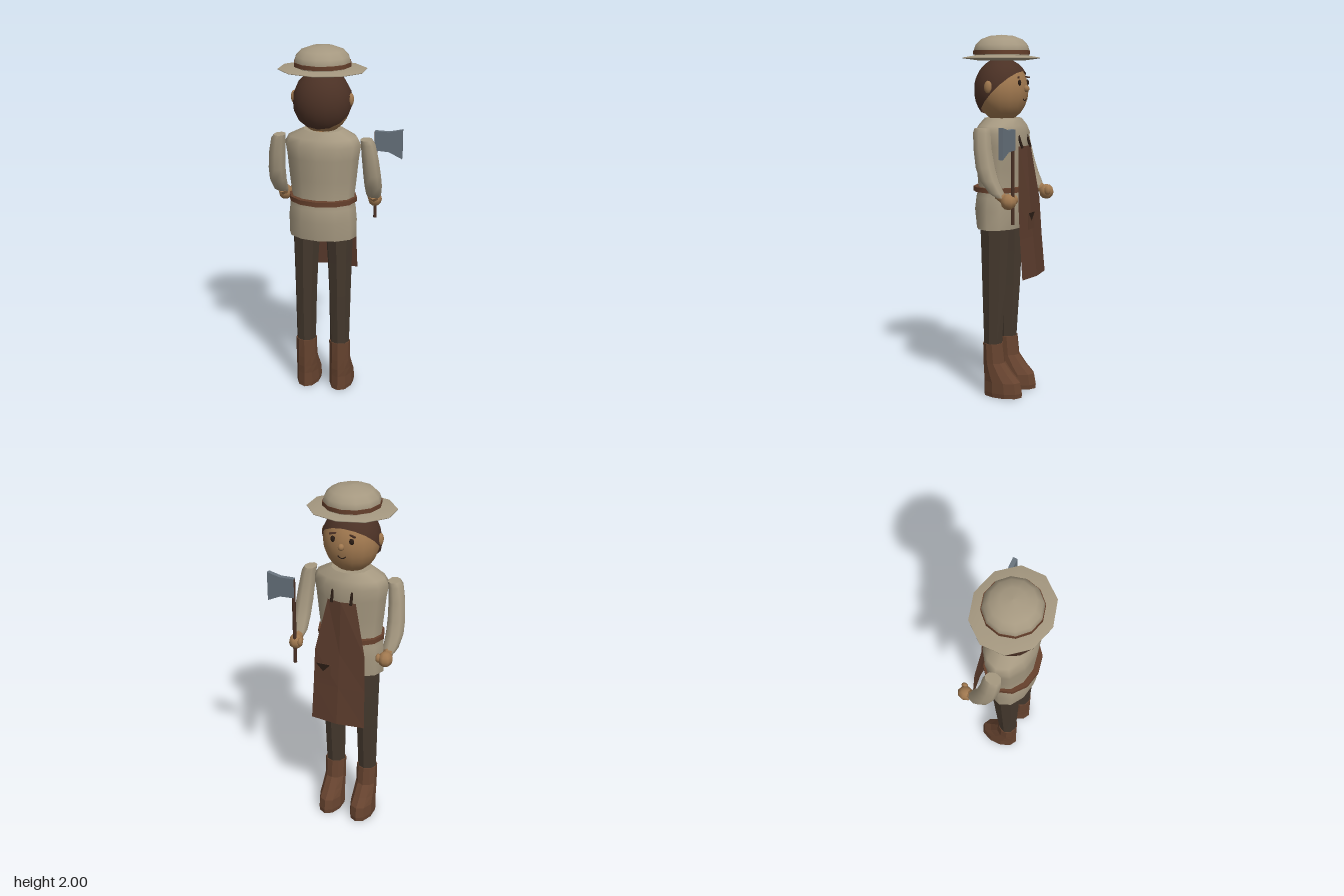
import * as THREE from 'three';

const mat = (color, flatShading = false, side = THREE.FrontSide) =>
  new THREE.MeshStandardMaterial({ color, flatShading, side });
const shirt = mat(0xa59880), trousers = mat(0x44382d, true), leather = mat(0x66432f, true);
const skin = mat(0xa0784f), hairMat = mat(0x4b3125), bandMat = mat(0x66402c);
const clothMat = mat(0x5a3b2c, true, THREE.DoubleSide), steel = mat(0x66717b, true);
const dark = mat(0x2a1c14, false, THREE.DoubleSide);

// Closed skin over horizontal rings [y, centreX, centreZ, radiusX, radiusZ], bottom to top
function loft(rings, n) {
  const pos = [], idx = [];
  const addRing = ([y, cx, cz, rx, rz]) => {
    const first = pos.length / 3;
    for (let j = 0; j < n; j++) {
      const a = (j / n) * Math.PI * 2;
      pos.push(cx + rx * Math.sin(a), y, cz + rz * Math.cos(a));
    }
    return first;
  };
  const starts = rings.map(addRing);
  for (let i = 0; i < rings.length - 1; i++) {
    for (let j = 0; j < n; j++) {
      const k = (j + 1) % n, a = starts[i], b = starts[i + 1];
      idx.push(a + j, a + k, b + k, a + j, b + k, b + j);
    }
  }
  // End caps have their own corners so that their rims stay sharp
  for (const [ring, top] of [[rings[0], false], [rings[rings.length - 1], true]]) {
    const s = addRing(ring);
    for (let j = 1; j < n - 1; j++) idx.push(s, s + (top ? j : j + 1), s + (top ? j + 1 : j));
  }
  const g = new THREE.BufferGeometry();
  g.setAttribute('position', new THREE.Float32BufferAttribute(pos, 3));
  g.setIndex(idx);
  g.computeVertexNormals();
  return g;
}

function add(parent, name, geometry, material, x = 0, y = 0, z = 0) {
  const m = new THREE.Mesh(geometry, material);
  m.name = name;
  m.position.set(x, y, z);
  parent.add(m);
  return m;
}

const ball = (rx, ry, rz, w = 10, h = 8) => new THREE.SphereGeometry(1, w, h).scale(rx, ry, rz);
const lathe = (points, n) => new THREE.LatheGeometry(points.map(p => new THREE.Vector2(...p)), n);

// Straight rod between two points
function rod(parent, name, from, to, r, material) {
  const a = new THREE.Vector3(...from), b = new THREE.Vector3(...to);
  const m = add(parent, name, new THREE.CylinderGeometry(r, r, a.distanceTo(b), 6), material);
  m.position.copy(a).lerp(b, 0.5);
  m.quaternion.setFromUnitVectors(new THREE.Vector3(0, 1, 0), b.sub(a).normalize());
}

function buildHead(body) {
  const head = new THREE.Group();
  head.name = 'head';
  body.add(head);
  add(head, 'face', ball(0.152, 0.172, 0.142, 16, 12), skin, 0, 1.7, 0);
  add(head, 'neck', new THREE.CylinderGeometry(0.06, 0.07, 0.08, 10), skin, 0, 1.55, 0.01);
  // Hair is a cap tilted towards the back of the head
  const cap = new THREE.SphereGeometry(1, 16, 8, 0, Math.PI * 2, 0, Math.PI * 0.53);
  cap.rotateX(0.715).scale(0.161, 0.178, 0.153);
  add(head, 'hair', cap, mat(0x4b3125, false, THREE.DoubleSide), 0, 1.7, 0.002);
  add(head, 'nose', ball(0.017, 0.019, 0.018), skin, 0, 1.71, -0.143);
  const smile = new THREE.TorusGeometry(0.025, 0.003, 4, 8, Math.PI * 0.7);
  smile.rotateZ(Math.PI * 1.15);
  add(head, 'mouth', smile, dark, 0, 1.67, -0.134);
  for (const s of [-1, 1]) {
    add(head, 'ear', ball(0.015, 0.034, 0.023), skin, s * 0.157, 1.72, 0.012);
    add(head, 'eye', ball(0.014, 0.017, 0.008), dark, s * 0.052, 1.742, -0.127);
    add(head, 'eyebrow', new THREE.BoxGeometry(0.04, 0.008, 0.01), hairMat, s * 0.054, 1.772, -0.122)
      .rotation.set(0, s * 0.4, s * -0.12);
  }
  // Hat
  const hat = new THREE.Group();
  hat.name = 'hat';
  hat.position.z = 0.004;
  head.add(hat);
  const brim = lathe([[0, 1.86], [0.13, 1.86], [0.239, 1.873], [0.239, 1.877], [0.155, 1.89], [0, 1.89]], 10);
  add(hat, 'brim', brim.scale(1, 1, 0.875), shirt);
  add(hat, 'crown', lathe([[0.148, 1.885], [0.153, 1.915], [0.144, 1.945], [0.115, 1.975], [0.065, 1.994], [0, 2]], 12), shirt);
  add(hat, 'hatBand', new THREE.CylinderGeometry(0.156, 0.156, 0.022, 12), bandMat, 0, 1.905, 0);
}

function buildArm(body, s) {
  const arm = new THREE.Group();
  arm.name = s > 0 ? 'leftArm' : 'rightArm';
  body.add(arm);
  add(arm, 'sleeve', loft([
    [1.14, s * 0.262, -0.115, 0.03, 0.022], [1.165, s * 0.265, -0.09, 0.042, 0.042],
    [1.23, s * 0.27, -0.05, 0.049, 0.053], [1.3, s * 0.268, -0.025, 0.049, 0.056],
    [1.4, s * 0.26, -0.005, 0.046, 0.053], [1.48, s * 0.25, 0.004, 0.04, 0.052],
    [1.505, s * 0.24, 0.006, 0.033, 0.045],
  ], 8), shirt);
  rod(arm, 'wrist', [s * 0.262, 1.16, -0.095], [s * 0.26, 1.125, -0.145], 0.027, skin);
  add(arm, 'hand', ball(0.04, 0.043, 0.045, 8, 6), skin, s * 0.26, 1.12, -0.157);
  add(arm, 'thumb', ball(0.014, 0.025, 0.02, 8, 6), skin, s * 0.226, 1.13, -0.178);
}

function buildLeg(body, s) {
  const x = s * 0.098;
  add(body, 'trouserLeg', loft([
    [0.28, x, 0.01, 0.055, 0.052], [0.6, x, 0.005, 0.062, 0.07],
    [0.8, x * 0.98, 0.003, 0.069, 0.079], [0.97, x * 0.95, 0.003, 0.077, 0.086],
  ], 8), trousers);
  add(body, 'boot', loft([
    [0, x, -0.05, 0.067, 0.115], [0.025, x, -0.051, 0.07, 0.116], [0.085, x, -0.046, 0.067, 0.11],
    [0.13, x, -0.022, 0.064, 0.087], [0.19, x, 0.003, 0.06, 0.062], [0.3, x, 0.01, 0.06, 0.056],
  ], 10), leather);
}

function buildApron(body) {
  const apron = new THREE.Group();
  apron.name = 'apron';
  body.add(apron);
  // Rows [y, half width, centre z, edge z]; the cloth folds along its middle
  const rows = [[1.4, 0.08, -0.15, -0.135], [1.1, 0.145, -0.168, -0.163],
    [0.9, 0.15, -0.188, -0.175], [0.68, 0.156, -0.212, -0.193]];
  const cloth = new THREE.PlaneGeometry(2, 3, 2, rows.length - 1);
  const p = cloth.attributes.position;
  for (let i = 0; i < p.count; i++) {
    const [y, w, mid, edge] = rows[Math.floor(i / 3)], u = p.getX(i);
    p.setXYZ(i, u * w, y, u === 0 ? mid : edge);
  }
  cloth.computeVertexNormals();
  add(apron, 'cloth', cloth, clothMat);
  for (const s of [-1, 1]) rod(apron, 'strap', [s * 0.055, 1.39, -0.146], [s * 0.055, 1.475, -0.115], 0.008, dark);
  // Patch pocket with a small pointed flap
  add(apron, 'pocket', new THREE.BoxGeometry(0.085, 0.09, 0.003), clothMat, 0.077, 1.0, -0.21);
  const flap = new THREE.Shape([[-0.042, 0.045], [0.042, 0.045], [0, 0]].map(q => new THREE.Vector2(...q)));
  add(apron, 'pocketFlap', new THREE.ShapeGeometry(flap), dark, 0.077, 1.0, -0.2125);
}

function buildHatchet(body) {
  const tool = new THREE.Group();
  tool.name = 'hatchet';
  tool.position.set(0.257, 0, -0.18);
  body.add(tool);
  rod(tool, 'handle', [0, 1.0, 0], [0, 1.5, 0], 0.01, hairMat);
  const outline = [[-0.005, 1.395], [0.075, 1.39], [0.148, 1.355], [0.148, 1.52], [0.075, 1.503], [-0.005, 1.505]];
  const blade = new THREE.ExtrudeGeometry(
    new THREE.Shape(outline.map(q => new THREE.Vector2(...q))), { depth: 0.025, bevelEnabled: false });
  add(tool, 'blade', blade.translate(0, 0, -0.0125), steel);
}

export function createModel() {
  const model = new THREE.Group();
  model.name = 'craftsman';
  // The figure stands off centre because the blade reaches out to one side
  const body = new THREE.Group();
  body.name = 'figure';
  body.position.x = -0.047;
  model.add(body);

  add(body, 'shirt', loft([
    [0.945, 0, 0.005, 0.19, 0.122], [1.05, 0, 0.005, 0.192, 0.135], [1.12, 0, 0.003, 0.185, 0.128],
    [1.17, 0, 0, 0.175, 0.12], [1.28, 0, 0, 0.188, 0.128], [1.4, 0, 0, 0.2, 0.137],
    [1.47, 0, 0, 0.212, 0.138], [1.51, 0, -0.003, 0.19, 0.12], [1.55, 0, -0.005, 0.108, 0.1],
  ], 12), shirt);
  add(body, 'belt', loft([[1.15, 0, 0, 0.19, 0.152], [1.176, 0, 0, 0.19, 0.152]], 12), bandMat);
  buildHead(body);
  for (const s of [-1, 1]) {
    buildArm(body, s);
    buildLeg(body, s);
  }
  buildApron(body);
  buildHatchet(body);
  return model;
}
